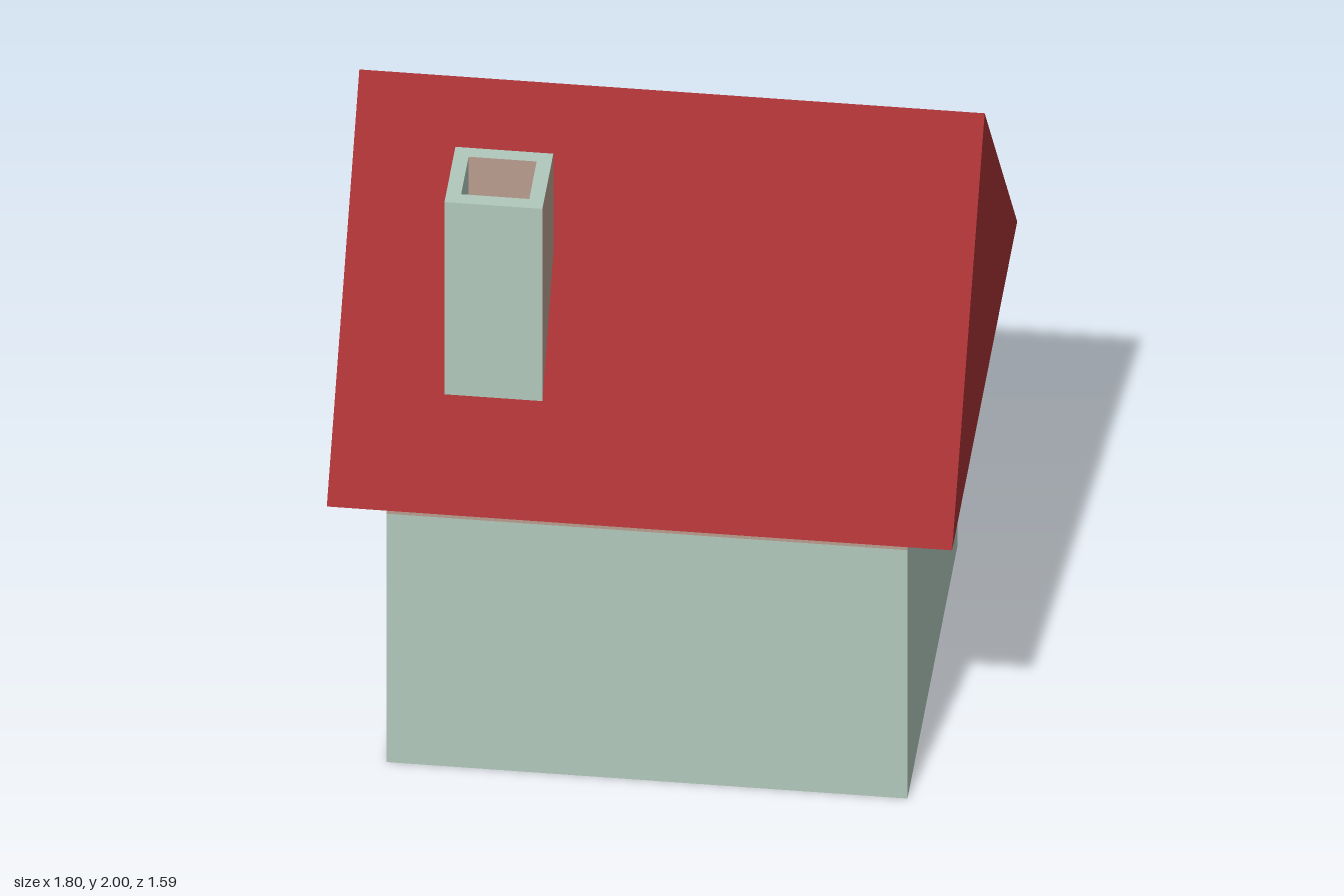
import * as THREE from 'three';

export function createModel() {
  const house = new THREE.Group();
  house.name = 'house';
  const colour = (name, color) => {
    const m = new THREE.MeshStandardMaterial({ color });
    m.name = name;
    return m;
  };
  const plaster = colour('paleGreen', 0xb1c8bc);
  const blush = colour('dustyPink', 0xb89c8f);
  const red = colour('roofRed', 0xa33031);

  const add = (parent, name, geometry, material) => {
    const mesh = new THREE.Mesh(geometry, material);
    mesh.name = name;
    parent.add(mesh);
    return mesh;
  };
  // box given by its min and max corners
  const box = (parent, name, [x0, y0, z0], [x1, y1, z1], material) => {
    const g = new THREE.BoxGeometry(x1 - x0, y1 - y0, z1 - z0);
    g.translate((x0 + x1) / 2, (y0 + y1) / 2, (z0 + z1) / 2);
    return add(parent, name, g, material);
  };
  // plan outline with y pointing to the back, extruded upwards
  const outline = (pts) => new THREE.Shape(pts.map(([x, y]) => new THREE.Vector2(x, y)));

  const W = 0.75, D = 0.613, IN = 0.605, FRONT = 0.55;
  const CEILING = 0.95, EAVE = 1.03, BAND = 0.885;

  // U-shaped walls, open at the back and at the bottom
  const walls = new THREE.Group();
  walls.name = 'walls';
  house.add(walls);
  const wallGeo = new THREE.ExtrudeGeometry(outline([
    [-W, -D], [W, -D], [W, D], [IN, D], [IN, -FRONT], [-IN, -FRONT], [-IN, D], [-W, D],
  ]), { depth: CEILING, bevelEnabled: false });
  wallGeo.rotateX(-Math.PI / 2);
  add(walls, 'wallShell', wallGeo, plaster);
  box(walls, 'ceiling', [-W, CEILING, -D], [W, EAVE, D],
    [blush, blush, plaster, plaster, blush, blush]);

  // painted band under the eaves
  const T = 0.002;
  box(walls, 'frontBand', [-W, BAND, D], [W, EAVE, D + T], blush);
  for (const s of [-1, 1]) {
    const side = s > 0 ? 'left' : 'right';
    const span = (a, b) => [Math.min(s * a, s * b), Math.max(s * a, s * b)];
    const [a, b] = span(W, W + T);
    box(walls, side + 'Band', [a, BAND + 0.01, -D], [b, EAVE, D], blush);
    const [c, d] = span(IN, W);
    box(walls, side + 'BackBand', [c, BAND + 0.01, -D - T], [d, CEILING, -D], blush);
  }

  // solid gable roof
  const RW = 0.9, RD = 0.795;
  const roofGeo = new THREE.ExtrudeGeometry(
    outline([[-RD, EAVE], [RD, EAVE], [0, 2]]), { depth: 2 * RW, bevelEnabled: false });
  roofGeo.translate(0, 0, -RW).rotateY(Math.PI / 2);
  add(house, 'roof', roofGeo, red);

  // hollow chimney from four walls; face order +x -x +y -y +z -z
  const chimney = new THREE.Group();
  chimney.name = 'chimney';
  house.add(chimney);
  const X0 = -0.587, X1 = -0.305, Z0 = 0.31, Z1 = 0.577, B = 1.2, TOP = 1.98, t = 0.043;
  const p = plaster, k = blush;
  box(chimney, 'chimneyFront', [X0, B, Z1 - t], [X1, TOP, Z1], [k, p, p, p, p, p]);
  box(chimney, 'chimneyBack', [X0, B, Z0], [X1, TOP, Z0 + t], [k, p, p, p, k, k]);
  box(chimney, 'chimneyRight', [X0, B, Z0 + t], [X0 + t, TOP, Z1 - t], p);
  box(chimney, 'chimneyLeft', [X1 - t, B, Z0 + t], [X1, TOP, Z1 - t], [k, p, p, p, p, p]);
  box(chimney, 'flueFloor', [X0 + t, B, Z0 + t], [X1 - t, 1.62, Z1 - t], p);

  return house;
}
